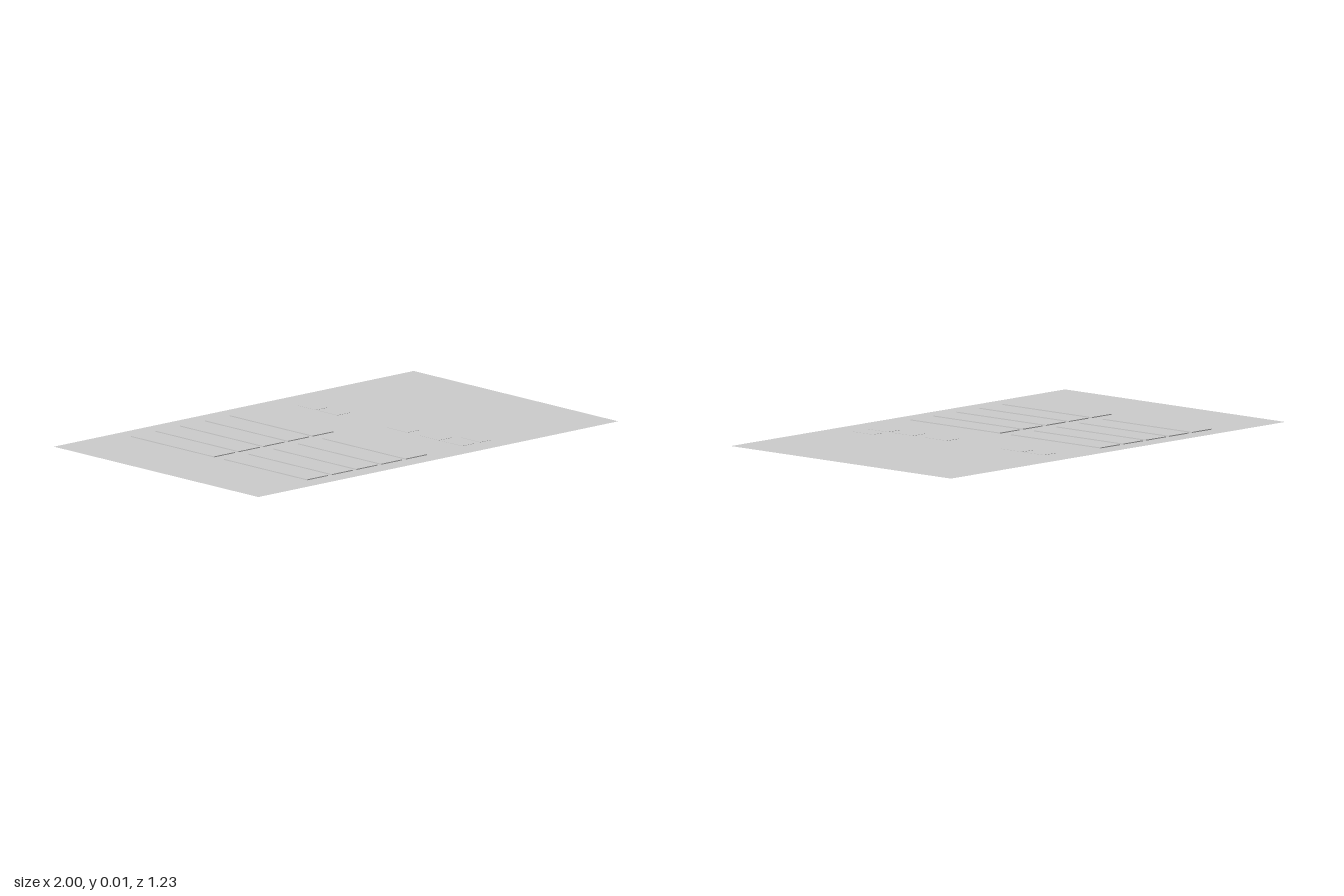
import * as THREE from 'three';

const SHEET_Y = 0.003;

export function createModel() {
  const model = new THREE.Group();
  const grey = new THREE.MeshStandardMaterial({ color: 0xcccccc, side: THREE.DoubleSide });
  grey.name = 'pale grey';

  // A thin block given by its corner limits
  function plate(name, x0, x1, y0, y1, z0, z1) {
    const mesh = new THREE.Mesh(new THREE.BoxGeometry(x1 - x0, y1 - y0, z1 - z0), grey);
    mesh.position.set((x0 + x1) / 2, (y0 + y1) / 2, (z0 + z1) / 2);
    mesh.name = name;
    model.add(mesh);
  }

  // Broad flat base sheet
  const base = new THREE.Mesh(new THREE.PlaneGeometry(2, 1.23).rotateX(-Math.PI / 2), grey);
  base.position.y = SHEET_Y;
  base.name = 'baseSheet';
  model.add(base);

  // Two rows of five long raised panels
  const count = 5, start = -0.65, pitch = 0.137, width = 0.117;
  for (const [row, z0, z1] of [['back', -0.53, -0.03], ['front', 0.03, 0.53]]) {
    for (let i = 0; i < count; i++) {
      const x = start + i * pitch;
      plate(`${row}Panel${i + 1}`, x, x + width, SHEET_Y, 0.007, z0, z1);
    }
  }

  // Small thin tiles set through the sheet beside the panels
  const tiles = [
    [0.23, 0.30, -0.48, -0.37], [0.23, 0.30, -0.36, -0.24],
    [0.23, 0.30, 0.06, 0.18], [0.23, 0.30, 0.25, 0.37],
    [0.23, 0.30, 0.39, 0.51], [0.33, 0.39, 0.39, 0.51],
  ];
  tiles.forEach(([x0, x1, z0, z1], i) => plate(`smallTile${i + 1}`, x0, x1, 0, 0.004, z0, z1));

  return model;
}
